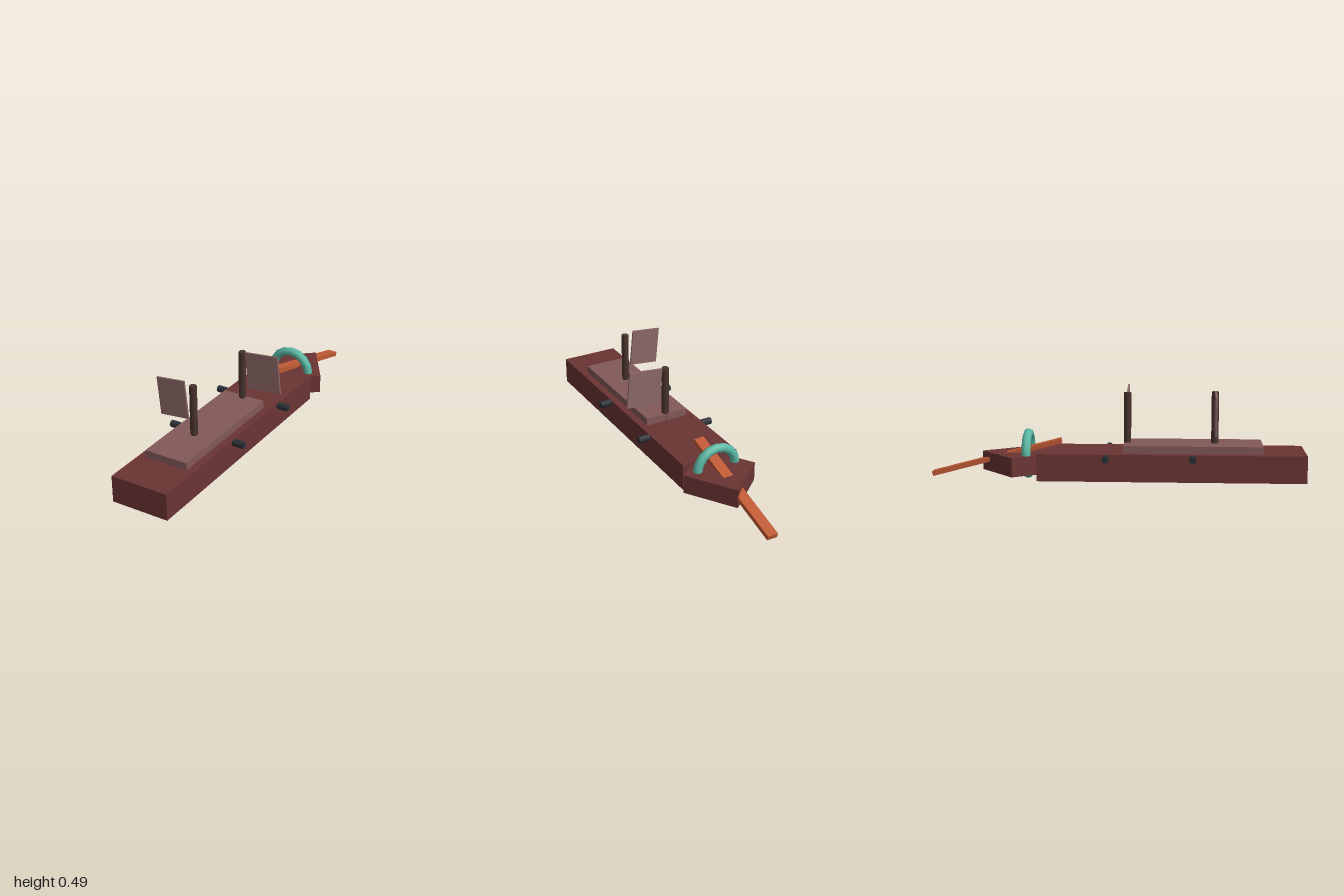
import * as THREE from 'three';

const CX = -0.007; // centre line of the hull

export function createModel() {
  const group = new THREE.Group();
  const mat = (color) => new THREE.MeshStandardMaterial({ color });
  const hullMat = mat(0x6b3434);
  const deckMat = mat(0x825858);
  const sailMat = mat(0x8c6868);
  const mastMat = mat(0x4a342e);
  const gunMat = mat(0x2a3036);
  const ringMat = mat(0x5ab8a5);
  const plankMat = mat(0xc05a34);

  const add = (name, geometry, material, x, y, z) => {
    const mesh = new THREE.Mesh(geometry, material);
    mesh.name = name;
    mesh.position.set(x, y, z);
    group.add(mesh);
    return mesh;
  };

  // Hull and raised deck
  add('hull', new THREE.BoxGeometry(0.318, 0.145, 1.415), hullMat, CX, 0.0895, 0.2925);
  add('deck', new THREE.BoxGeometry(0.241, 0.05, 0.735), deckMat, CX, 0.177, 0.407);

  // Skewed diamond prow at the -z end
  const diamond = new THREE.Shape([
    [0.19, -0.033], [0.027, 0.219], [-0.19, 0.033], [-0.027, -0.219],
  ].map(([x, y]) => new THREE.Vector2(x, y)));
  const prow = new THREE.ExtrudeGeometry(diamond, { depth: 0.102, bevelEnabled: false });
  prow.rotateX(-Math.PI / 2);
  add('prow', prow, hullMat, CX, 0.042, -0.508);

  // Masts, each with a tilted sail to one side
  const rigs = [
    { z: 0.523, top: 0.478, sailX: -0.13, sailWidth: 0.165 },
    { z: 0.058, top: 0.471, sailX: 0.118, sailWidth: 0.194 },
  ];
  for (const { z, top, sailX, sailWidth } of rigs) {
    const height = top - 0.16;
    add('mast', new THREE.CylinderGeometry(0.0195, 0.0195, height, 6), mastMat, CX, 0.16 + height / 2, z);
    const sail = add('sail', new THREE.BoxGeometry(sailWidth, 0.205, 0.01), sailMat, sailX, 0.378, z);
    sail.rotation.z = 0.1;
  }

  // Cross bars sticking out of both sides
  for (const z of [0.404, -0.05]) {
    const bar = add('crossBar', new THREE.CylinderGeometry(0.019, 0.019, 0.442, 6), gunMat, CX, 0.144, z);
    bar.rotation.z = Math.PI / 2;
  }

  // Ring around the prow
  add('ring', new THREE.TorusGeometry(0.111, 0.0245, 8, 16), ringMat, CX, 0.1375, -0.475);

  // Sloping plank through the prow
  const plank = add('bowPlank', new THREE.BoxGeometry(0.057, 0.025, 0.722), plankMat, CX, 0.1165, -0.646);
  plank.rotation.x = -0.26;

  return group;
}
